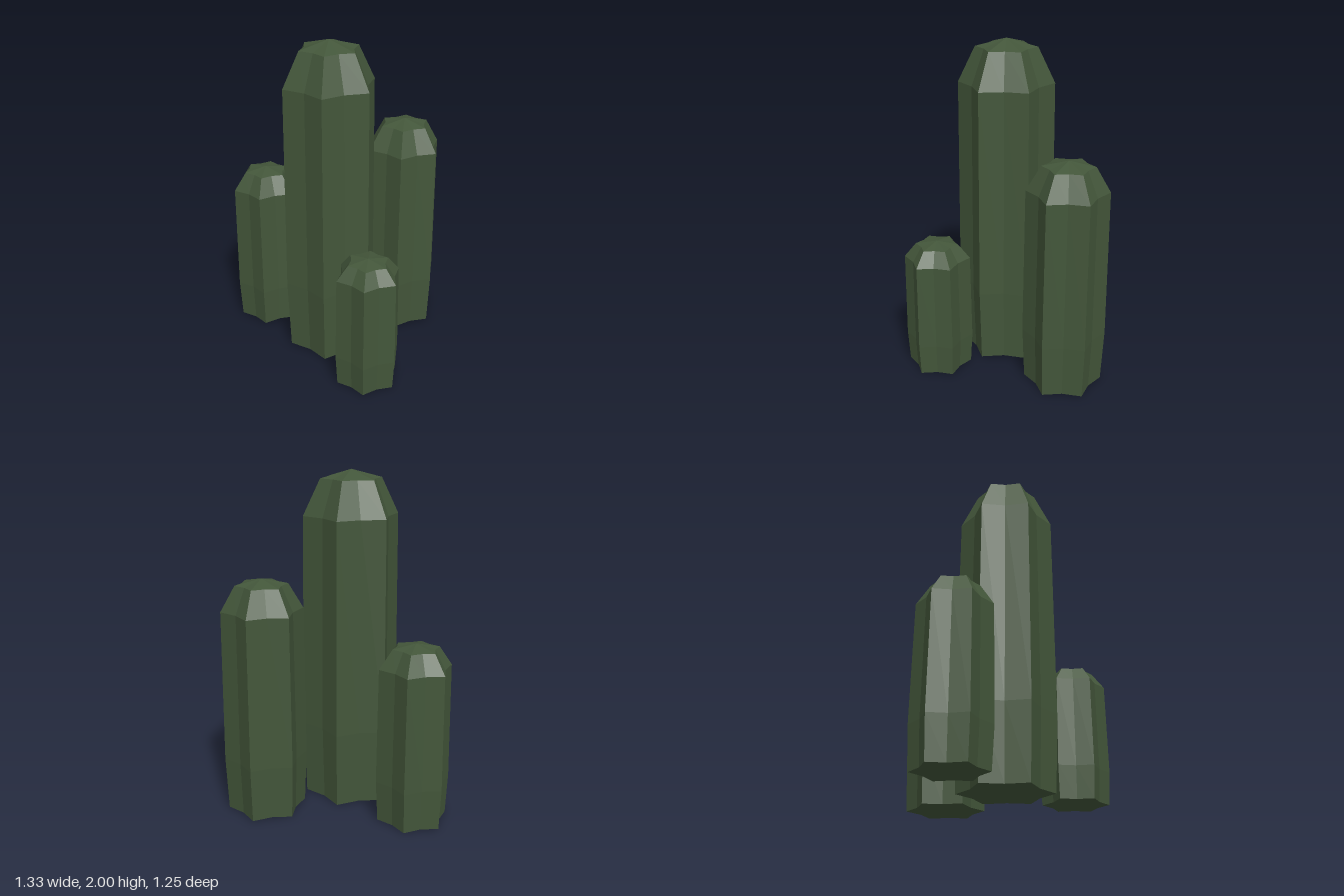
import * as THREE from 'three';

// Profile as [radius, height] fractions, from the base centre to the apex
const PROFILE = [[0, 0], [0.945, 0], [1, 0.23], [0.965, 0.87], [0.62, 0.975], [0, 1]];
const VALLEY = 0.785; // radius of the grooves relative to the ribs

// Six-ribbed column: a 12-sided lathe with every second line pulled inward
function ribbedColumn(radius, height) {
  const points = PROFILE.map(([r, y]) => new THREE.Vector2(r * radius, y * height));
  const lathe = new THREE.LatheGeometry(points, 12, Math.PI / 4);
  const pos = lathe.attributes.position;
  for (let i = 0; i < pos.count; i++) {
    const line = Math.floor(i / points.length);
    if (line % 2 === 1) {
      pos.setX(i, pos.getX(i) * VALLEY);
      pos.setZ(i, pos.getZ(i) * VALLEY);
    }
  }
  const flat = lathe.toNonIndexed();
  flat.computeVertexNormals();
  return flat;
}

export function createModel() {
  const group = new THREE.Group();
  group.name = 'cactusCluster';
  const green = new THREE.MeshStandardMaterial({ color: 0x43563a, flatShading: true });
  green.name = 'cactusGreen';

  // name, x, z, rib radius, height
  const stems = [
    ['tallStem', -0.075, -0.035, 0.295, 2],
    ['leftStem', 0.425, -0.287, 0.247, 1.415],
    ['rightStem', -0.45, -0.412, 0.223, 1.08],
    ['frontStem', 0.092, 0.423, 0.205, 0.835],
  ];
  for (const [name, x, z, radius, height] of stems) {
    const stem = new THREE.Mesh(ribbedColumn(radius, height), green);
    stem.name = name;
    stem.position.set(x, 0, z);
    group.add(stem);
  }
  return group;
}
